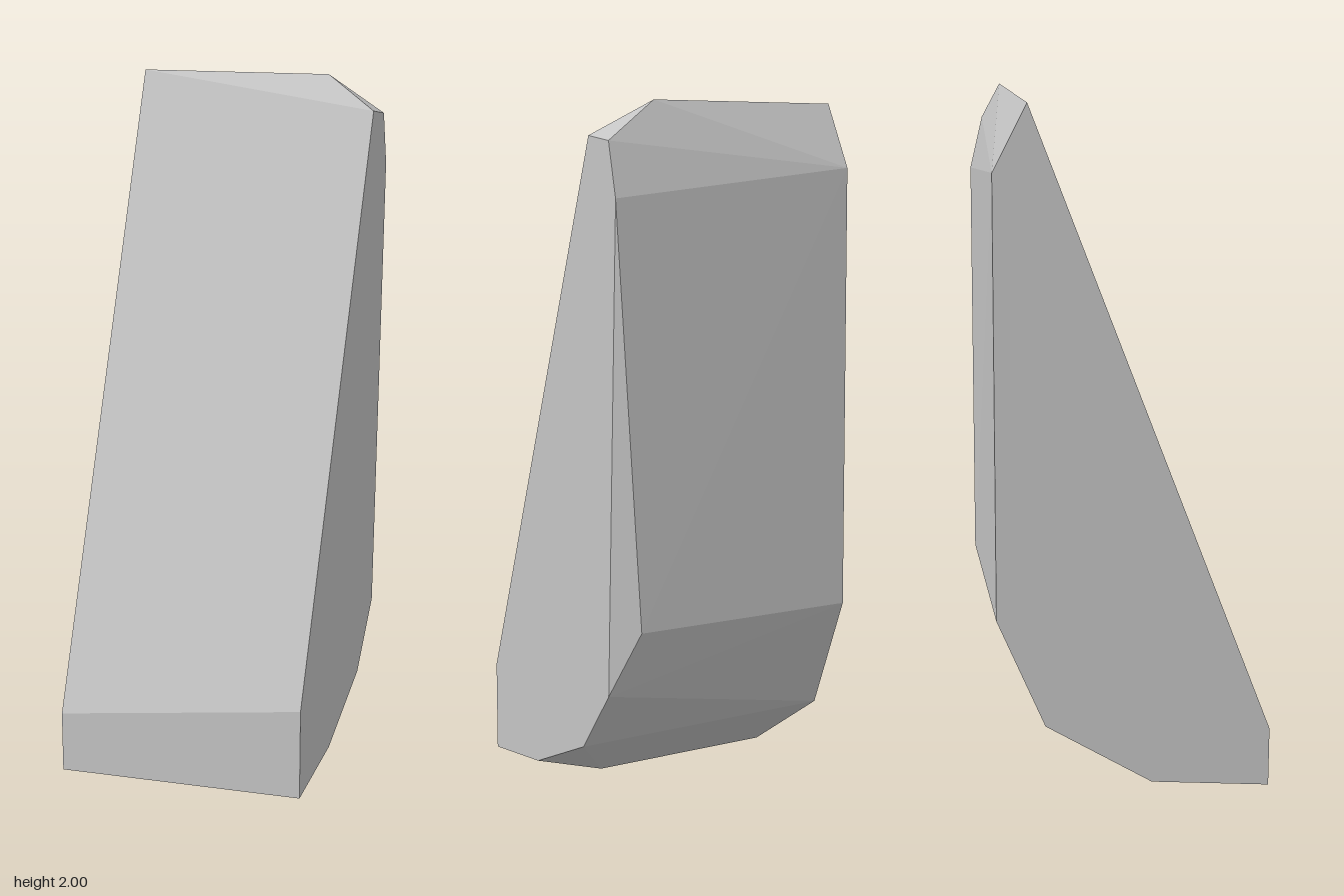
import * as THREE from 'three';
import { ConvexGeometry } from 'three/addons/geometries/ConvexGeometry.js';

export function createModel() {
  const group = new THREE.Group();
  group.name = 'stoneSlab';
  const stoneGrey = new THREE.MeshStandardMaterial({ color: 0xc4c4c4 });
  stoneGrey.name = 'stone grey';

  // Flat -x side: outline as [y, z]
  const plainSide = [
    [0.18, 0.4], [0, 0.4], [0.04, 0.05], [0.24, -0.26],
    [0.57, -0.395], [1.82, -0.385], [2, -0.29],
  ];
  // Flat +x side: smaller outline, because its edges are chipped
  const chippedSide = [
    [0.3, 0.4], [0.035, 0.4], [0.07, 0.12], [0.195, -0.17],
    [0.38, -0.32], [1.74, -0.37], [1.89, -0.333], [1.905, -0.222],
  ];
  // Inner corners of the chips: top, lower back, underside
  const chipCorners = [[0.208, 2, -0.297], [0.3, 0.565, -0.387], [0.19, 0.035, 0.05]];

  const corners = [
    ...plainSide.map(([y, z]) => new THREE.Vector3(-0.37, y, z)),
    ...chippedSide.map(([y, z]) => new THREE.Vector3(0.367, y, z)),
    ...chipCorners.map((p) => new THREE.Vector3(...p)),
  ];

  // Faceted convex block through all corners
  const slab = new THREE.Mesh(new ConvexGeometry(corners), stoneGrey);
  slab.name = 'slab';
  group.add(slab);
  return group;
}
